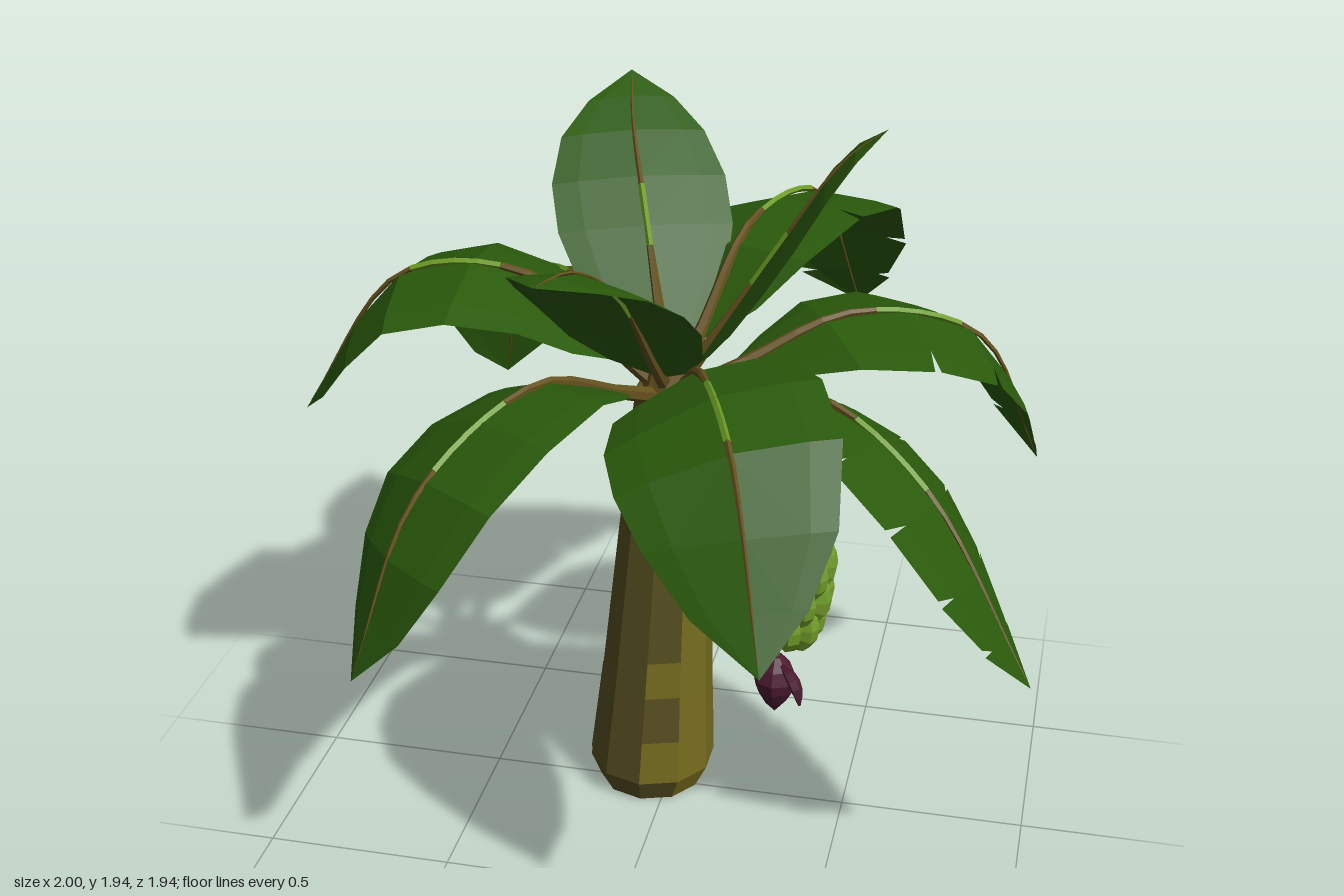
import * as THREE from 'three';

const V = (a) => new THREE.Vector3(...a);
const mat = (name, color, open) => {
  const m = new THREE.MeshStandardMaterial({ color, flatShading: true });
  m.name = name;
  if (open) m.side = THREE.DoubleSide;
  return m;
};

export function createModel() {
  const leafGreen = mat('leaf green', 0x2a5a0b, true);
  const lime = mat('vein lime', 0x6c9a24);
  const stemBrown = mat('stem brown', 0x64501e);
  const bark = mat('bark olive', 0x585022);
  const barkGold = mat('bark gold', 0x766c1e);
  const fruitGreen = mat('fruit green', 0x74a02c);
  const fruitDark = mat('fruit core green', 0x33500f);
  const budMaroon = mat('bud maroon', 0x4c1a30);
  const dryHusk = mat('dry husk', 0x50481f, true);

  const model = new THREE.Group();
  model.name = 'bananaPlant';
  const add = (name, geo, material, parent = model) => {
    const mesh = new THREE.Mesh(geo, material);
    mesh.name = name;
    parent.add(mesh);
    return mesh;
  };

  // tube along a curve between two fractions, with a radius rule
  function taperTube(curve, radius, segs, sides, from = 0, to = 1) {
    const pts = Array.from({ length: segs + 1 }, (_, i) => curve.getPointAt(from + (to - from) * i / segs));
    const path = new THREE.CatmullRomCurve3(pts);
    const geo = new THREE.TubeGeometry(path, segs, 1, sides);
    const pos = geo.attributes.position, v = new THREE.Vector3();
    for (let i = 0; i < pos.count; i++) {
      const t = Math.floor(i / (sides + 1)) / segs, c = path.getPointAt(t);
      v.fromBufferAttribute(pos, i).sub(c).multiplyScalar(radius(t)).add(c);
      pos.setXYZ(i, v.x, v.y, v.z);
    }
    return geo;
  }

  // Trunk: ten-sided, leaning, flared at the foot; rings run top to bottom
  const rings = [[1.22, 0.094], [1.0, 0.114], [0.78, 0.128], [0.6, 0.139], [0.45, 0.148],
    [0.34, 0.155], [0.2, 0.166], [0.07, 0.175], [0, 0.144]];
  const sides = 10, bands = rings.length - 1;
  const axisX = (y) => -0.057 + 0.057 * Math.min(1, y / 1.1);
  const trunkGeo = new THREE.CylinderGeometry(1, 1, 1, sides, bands);
  const tp = trunkGeo.attributes.position;
  for (let i = 0; i < tp.count; i++) {
    const [y, r] = rings[Math.round((0.5 - tp.getY(i)) * bands)];
    tp.setXYZ(i, axisX(y) + tp.getX(i) * r, y, -0.04 + tp.getZ(i) * r);
  }
  // gold bark on the left side, with a few patches elsewhere
  const patches = ['0,4', '0,6', '3,4'];
  trunkGeo.clearGroups();
  for (let s = 0; s < sides; s++) {
    for (let b = 0; b < bands; b++) {
      const gold = s === 1 || s === 2 || patches.includes(`${s},${b}`);
      trunkGeo.addGroup((s * bands + b) * 6, 6, gold ? 1 : 0);
    }
  }
  trunkGeo.addGroup(sides * bands * 6, sides * 6, 0);
  add('trunk', trunkGeo, [bark, barkGold]);
  const heart = add('crownHeart', new THREE.CylinderGeometry(0.035, 0.085, 0.14, 8), stemBrown);
  heart.position.set(0, 1.27, -0.04);

  // Dry husk flaps on the trunk
  for (const [angle, y] of [[-0.75, 0.28], [Math.PI - 0.1, 0.34]]) {
    const flap = add('huskFlap', new THREE.PlaneGeometry(0.06, 0.27), dryHusk);
    flap.position.set(axisX(y) + Math.sin(angle) * 0.178, y, -0.04 + Math.cos(angle) * 0.178);
    flap.rotation.set(-0.16, angle, 0, 'YXZ');
  }

  // Leaf blade outline: [fraction along, relative half width]
  const outline = [[0, 0.12], [0.09, 0.5], [0.22, 0.83], [0.4, 1], [0.57, 1], [0.74, 0.83], [0.88, 0.5], [1, 0]];
  const crown = V([0, 1.19, -0.04]);
  const bladeStart = 0.13;

  // a leaf rises from the crown through its path of arch, shoulder and tip
  function leaf({ name, path, half, droop = 0.2, roll = 0, torn = false }) {
    const group = new THREE.Group();
    group.name = name;
    model.add(group);
    const [arch, shoulder, tip] = path.map(V);
    const curve = new THREE.CatmullRomCurve3([crown, crown.clone().lerp(arch, 0.4), arch, shoulder, tip]);
    const side = new THREE.Vector3(crown.z - tip.z, 0, tip.x).normalize();
    const point = (u, width, v) => {
      const t = bladeStart + (1 - bladeStart) * u;
      const w = width * half;
      const up = side.clone().cross(curve.getTangentAt(t)).normalize();
      return curve.getPointAt(t).addScaledVector(side, w * v * Math.cos(roll))
        .addScaledVector(up, w * (Math.sin(roll) * v - droop * Math.abs(v) ** 1.5));
    };
    const verts = [];
    for (let i = 0; i < outline.length - 1; i++) {
      const [u0, w0] = outline[i], [u1, w1] = outline[i + 1];
      const gap = torn && i >= 2 && i < 6 ? 0.016 : 0;
      for (const s of [-1, 1]) {
        for (const [v0, v1] of [[0, 0.7], [0.7, 1]]) {
          const a = point(u0, w0, s * v0), b = point(u1, w1, s * v0);
          const c = point(u1 - (v1 === 1 ? gap : 0), w1, s * v1), d = point(u0, w0, s * v1);
          const quad = s > 0 ? [a, d, c, a, c, b] : [a, c, d, a, b, c];
          quad.forEach((p) => verts.push(p.x, p.y, p.z));
        }
      }
    }
    const geo = new THREE.BufferGeometry();
    geo.setAttribute('position', new THREE.Float32BufferAttribute(verts, 3));
    geo.computeVertexNormals();
    add('blade', geo, leafGreen, group);
    // stalk, then a midrib with a lime stretch
    add('leafStalk', taperTube(curve, (t) => 0.024 - 0.015 * t, 8, 6, 0, 0.42), stemBrown, group);
    add('midribLime', taperTube(curve, () => 0.009, 4, 4, 0.42, 0.6), lime, group);
    add('midrib', taperTube(curve, (t) => 0.008 - 0.006 * t, 7, 4, 0.6, 0.98), stemBrown, group);
  }

  // Seven arching lower leaves
  const lowerLeaves = [
    { name: 'rightLeaf', half: 0.285, path: [[-0.37, 1.52, 0], [-0.7, 1.5, 0.01], [-1, 1.08, 0.01]] },
    { name: 'frontRightLeaf', half: 0.265, roll: -0.25, path: [[-0.26, 1.36, 0.32], [-0.47, 1.2, 0.65], [-0.6, 0.77, 0.83]] },
    { name: 'backRightLeaf', half: 0.26, path: [[-0.33, 1.37, -0.37], [-0.58, 1.24, -0.65], [-0.68, 0.86, -0.81]] },
    { name: 'backLeaf', half: 0.27, roll: 0.2, torn: true, path: [[0.14, 1.56, -0.39], [0.27, 1.55, -0.7], [0.37, 1.12, -0.97]] },
    { name: 'backLeftLeaf', half: 0.28, torn: true, path: [[0.44, 1.39, -0.23], [0.76, 1.29, -0.4], [0.94, 0.86, -0.56]] },
    { name: 'leftLeaf', half: 0.28, roll: 0.35, torn: true, path: [[0.42, 1.31, 0.14], [0.7, 1.15, 0.26], [1, 0.7, 0.4]] },
    { name: 'frontLeftLeaf', half: 0.27, roll: -0.3, path: [[0.16, 1.45, 0.36], [0.3, 1.4, 0.7], [0.42, 1, 0.97]] },
  ];
  // Three rising young leaves
  const youngLeaves = [
    { name: 'youngFrontLeaf', half: 0.22, path: [[-0.06, 1.59, 0.28], [-0.11, 1.75, 0.53], [-0.15, 1.78, 0.71]] },
    { name: 'youngBackLeaf', half: 0.235, droop: 0.1, path: [[-0.13, 1.59, -0.31], [-0.21, 1.78, -0.51], [-0.25, 1.87, -0.67]] },
    { name: 'youngLeftLeaf', half: 0.165, droop: 0.1, path: [[0.27, 1.62, -0.06], [0.43, 1.86, -0.07], [0.53, 1.94, -0.08]] },
  ];
  lowerLeaves.forEach(leaf);
  youngLeaves.forEach(leaf);

  // Fruit stalk arching out of the crown
  const stalk = new THREE.CatmullRomCurve3([[0.01, 1.2, -0.03], [0.11, 1.29, 0.06], [0.26, 1.25, 0.16],
    [0.33, 1.1, 0.21], [0.335, 0.85, 0.21], [0.335, 0.57, 0.21]].map(V));
  add('fruitStalk', taperTube(stalk, (t) => 0.03 - 0.02 * t, 24, 7), stemBrown);

  // Bunch: staggered rows of upturned fruit around a core
  const bunch = new THREE.Group();
  bunch.name = 'fruitBunch';
  bunch.position.set(0.335, 0, 0.21);
  model.add(bunch);
  const core = add('bunchCore', new THREE.CylinderGeometry(0.085, 0.07, 0.3, 10), fruitDark, bunch);
  core.position.y = 0.835;
  const fruitCurve = new THREE.CatmullRomCurve3([[0, 0, -0.03], [0, 0.02, 0], [0, 0.075, 0.012], [0, 0.145, -0.006]].map(V));
  const fruitGeo = taperTube(fruitCurve, (t) => 0.005 + 0.026 * Math.sin(Math.PI * (0.12 + 0.88 * t)) ** 0.7, 6, 6);
  [[0.655, 0.09], [0.73, 0.107], [0.81, 0.113], [0.89, 0.106]].forEach(([y, r], row) => {
    for (let i = 0; i < 12; i++) {
      const a = (i + (row % 2) / 2) / 12 * Math.PI * 2;
      const fruit = add('fruit', fruitGeo, fruitGreen, bunch);
      fruit.position.set(Math.sin(a) * r, y + 0.01 * (i % 2), Math.cos(a) * r);
      fruit.rotation.y = a;
    }
  });

  // Flower bud with one peeled bract
  const budProfile = [[0, 0.42], [0.03, 0.455], [0.052, 0.495], [0.058, 0.525], [0.045, 0.56], [0.018, 0.592], [0, 0.595]];
  const bud = add('flowerBud', new THREE.LatheGeometry(budProfile.map((p) => new THREE.Vector2(...p)), 8), budMaroon);
  bud.position.set(0.335, 0, 0.21);
  const bractCurve = new THREE.CatmullRomCurve3([[0.35, 0.575, 0.225], [0.385, 0.56, 0.26], [0.405, 0.53, 0.28], [0.412, 0.495, 0.285]].map(V));
  add('bract', taperTube(bractCurve, (t) => 0.004 + 0.014 * Math.sin(Math.PI * t), 6, 5), budMaroon);

  return model;
}
